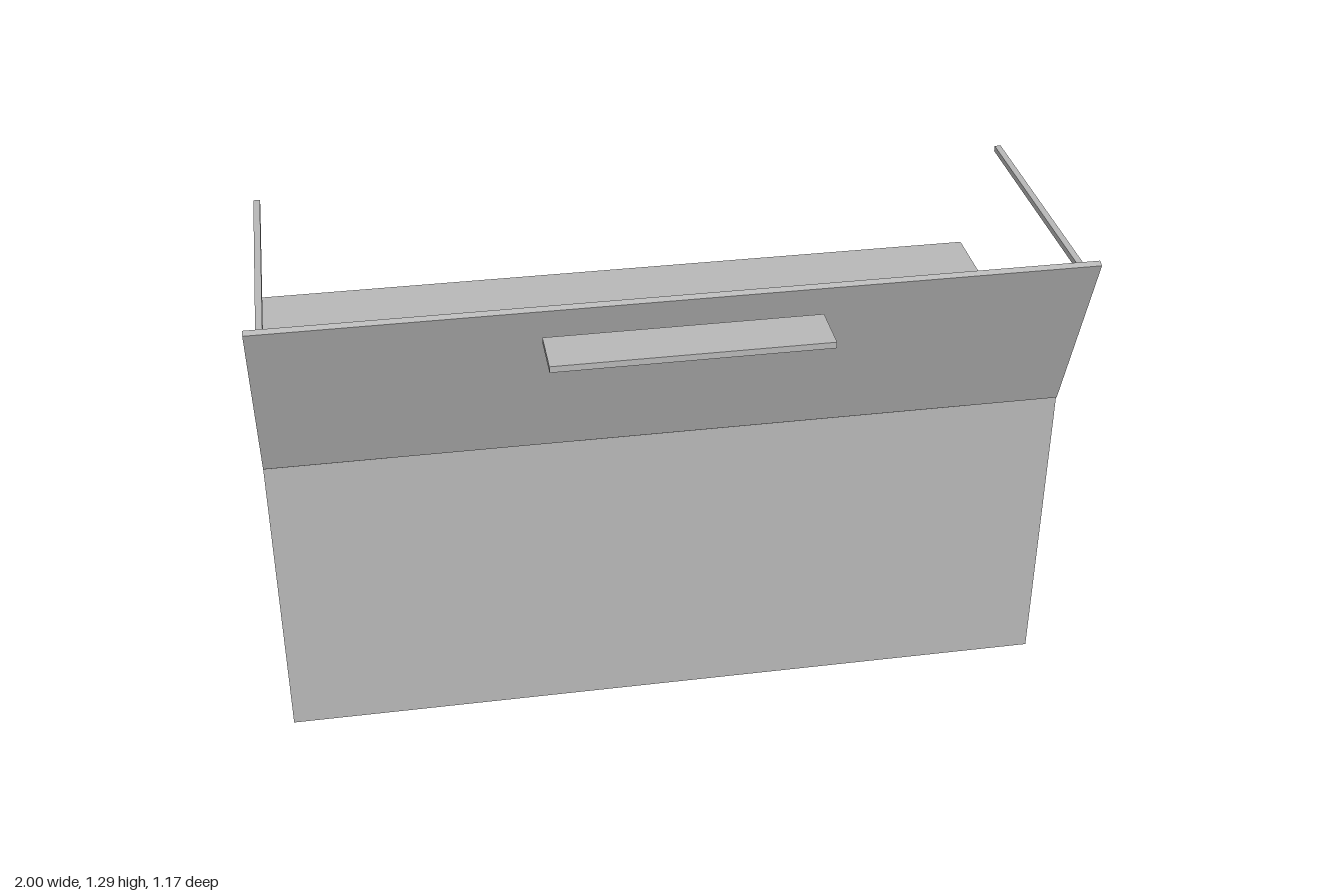
import * as THREE from 'three';

export function createModel() {
  const model = new THREE.Group();
  model.name = 'openChest';
  const grey = new THREE.MeshStandardMaterial({ color: 0xb8b8b8 });
  grey.name = 'plain grey';

  // Box given by its lower and upper limits on each axis
  function block(name, [x0, x1], [y0, y1], [z0, z1], parent = model) {
    const mesh = new THREE.Mesh(new THREE.BoxGeometry(x1 - x0, y1 - y0, z1 - z0), grey);
    mesh.position.set((x0 + x1) / 2, (y0 + y1) / 2, (z0 + z1) / 2);
    mesh.name = name;
    parent.add(mesh);
    return mesh;
  }

  const top = 0.805, back = -0.585, front = 0.27;
  const innerX = 0.977, innerBack = -0.225, innerFront = 0.245;

  // Chest body: a solid block with a rectangular well, closed by a floor
  const outline = new THREE.Shape();
  outline.moveTo(-1, -front).lineTo(1, -front).lineTo(1, -back).lineTo(-1, -back).closePath();
  const well = new THREE.Path();
  well.moveTo(-innerX, -innerFront).lineTo(-innerX, -innerBack)
    .lineTo(innerX, -innerBack).lineTo(innerX, -innerFront).closePath();
  outline.holes.push(well);
  const body = new THREE.Mesh(
    new THREE.ExtrudeGeometry(outline, { depth: top, bevelEnabled: false }), grey);
  body.rotation.x = -Math.PI / 2;
  body.name = 'chestBody';
  model.add(body);
  block('chestFloor', [-innerX, innerX], [0, 0.02], [innerBack, innerFront]);

  // Stop rail along the rear rim of the well
  block('rearRail', [-innerX, innerX], [top, 0.845], [-0.239, innerBack]);

  // Lid leaning forward from the front edge
  const lid = block('lid', [-1, 1], [0.795, 1.303], [0.347, 0.363]);
  lid.rotation.x = THREE.MathUtils.degToRad(20.3);

  // Handle plate and the two stays at the top of the lid
  block('lidHandle', [-0.33, 0.33], [1.203, 1.219], [0.455, 0.585]);
  for (const side of [-1, 1]) {
    block(side > 0 ? 'leftStay' : 'rightStay',
      [side * 0.965 - 0.008, side * 0.965 + 0.008], [1.253, 1.268], [-0.253, 0.428]);
  }

  // Three storage boxes against the rear wall
  for (const x of [-0.795, -0.532, -0.268]) {
    block('storageBox', [x - 0.115, x + 0.115], [0.4, 0.68], [innerBack, 0.037]);
  }

  // Two tool racks, each a bar with a row of pegs
  for (const z of [-0.19, -0.03]) {
    const rack = new THREE.Group();
    rack.name = 'toolRack';
    block('rackBar', [0.03, 0.96], [0.665, 0.695], [z, z + 0.015], rack);
    for (let i = 0; i < 14; i++) {
      const x = 0.078 + i * 0.0627;
      block('rackPeg', [x - 0.013, x + 0.013], [0.668, 0.692], [z + 0.015, z + 0.112], rack);
    }
    model.add(rack);
  }

  return model;
}
